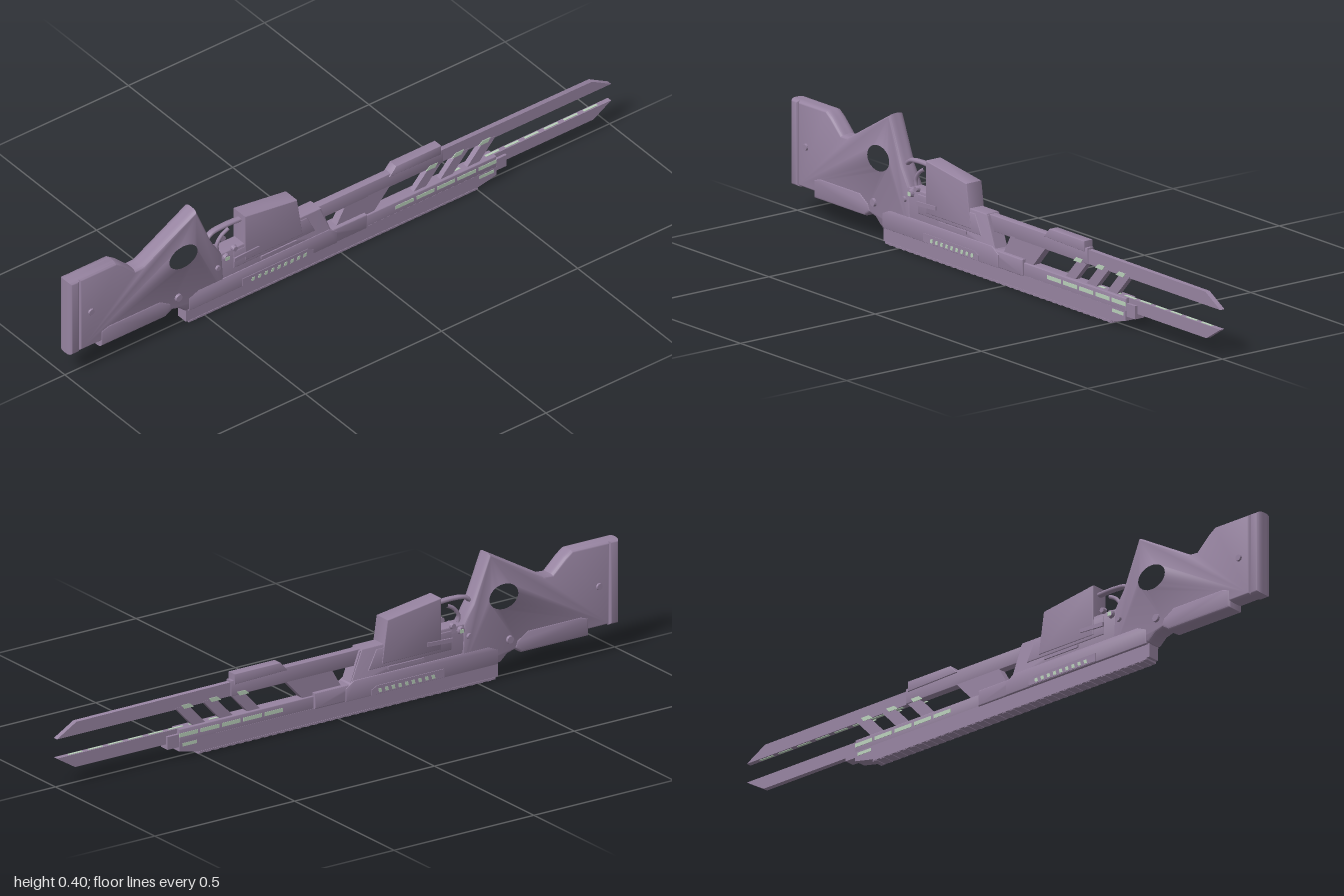
import * as THREE from 'three';
import { toCreasedNormals } from 'three/addons/utils/BufferGeometryUtils.js';

const shell = new THREE.MeshStandardMaterial({ color: 0x9683a0 });
shell.name = 'mauve shell';
const glow = new THREE.MeshStandardMaterial({ color: 0xb9d0ba });
glow.name = 'pale green inlay';

export function createModel() {
  const model = new THREE.Group();
  model.name = 'rifle';

  const add = (name, geo, mat = shell) => {
    const mesh = new THREE.Mesh(geo, mat);
    mesh.name = name;
    model.add(mesh);
    return mesh;
  };

  // Side profile in [z, y], extruded across x to a half width, with optional rounded rims
  const slab = (name, pts, half, { bevel = 0, round = bevel, hole, x = 0, mat } = {}) => {
    const shape = new THREE.Shape(pts.map(([z, y]) => new THREE.Vector2(-z, y)));
    if (hole) {
      const path = new THREE.Path();
      path.absellipse(-hole[0], hole[1], hole[2], hole[3], 0, Math.PI * 2, true);
      shape.holes.push(path);
    }
    const geo = new THREE.ExtrudeGeometry(shape, {
      depth: 2 * (half - round), bevelEnabled: bevel > 0, bevelSize: bevel,
      bevelOffset: -bevel, bevelThickness: round, bevelSegments: 4, curveSegments: 12,
    });
    geo.translate(0, 0, round - half).rotateY(Math.PI / 2).translate(x, 0, 0);
    return add(name, toCreasedNormals(geo, 0.6), mat);
  };
  const rect = (z0, z1, y0, y1) => [[z0, y0], [z0, y1], [z1, y1], [z1, y0]];
  const box = (name, half, z0, z1, y0, y1, mat, x = 0) => {
    const geo = new THREE.BoxGeometry(2 * half, y1 - y0, Math.abs(z1 - z0));
    geo.translate(x, (y0 + y1) / 2, (z0 + z1) / 2);
    return add(name, geo, mat);
  };

  // Stock with thumbhole, butt pad and rounded lower pad
  slab('stock', [[0.966, 0.085], [0.966, 0.345], [0.83, 0.345], [0.805, 0.328], [0.76, 0.286],
    [0.73, 0.288], [0.535, 0.4], [0.475, 0.255], [0.44, 0.2], [0.43, 0.05], [0.575, 0.05],
    [0.6, 0.072], [0.64, 0.083]], 0.027, { bevel: 0.008, round: 0.02, hole: [0.585, 0.256, 0.06, 0.047] });
  slab('buttPad', rect(1, 0.963, 0.082, 0.345), 0.027, { bevel: 0.008, round: 0.02 });
  slab('stockLowerPad', [[0.89, 0.066], [0.89, 0.125], [0.86, 0.135], [0.67, 0.135], [0.63, 0.11],
    [0.62, 0.085], [0.65, 0.066]], 0.0285, { bevel: 0.008, round: 0.015 });

  // Receiver and magazine
  slab('receiver', [[0.48, 0.05], [0.48, 0.2], [0.08, 0.2], [0.04, 0.1], [-0.09, 0.1], [-0.09, 0.05]],
    0.025, { bevel: 0.004 });
  slab('receiverSidePlate', [[0.565, 0.05], [0.565, 0.095], [0.53, 0.11], [0.05, 0.11], [0.02, 0.09],
    [0.02, 0.05]], 0.0275, { bevel: 0.002 });
  slab('magazine', [[0.36, 0.14], [0.36, 0.3], [0.168, 0.273], [0.148, 0.14]], 0.0285, { bevel: 0.003 });
  slab('magazineCollar', [[0.4, 0.13], [0.4, 0.19], [0.13, 0.19], [0.1, 0.13]], 0.027, { bevel: 0.003 });

  // Trigger guard and trigger
  const curve = pts => new THREE.CatmullRomCurve3(pts.map(([z, y]) => new THREE.Vector3(0, y, z)));
  const guard = new THREE.TubeGeometry(curve([[0.49, 0.25], [0.465, 0.272], [0.42, 0.278], [0.355, 0.276]]), 16, 0.007, 8);
  add('triggerGuard', guard.scale(1.6, 1, 1));
  add('trigger', new THREE.TubeGeometry(curve([[0.44, 0.195], [0.442, 0.22], [0.425, 0.245], [0.4, 0.26]]), 12, 0.006, 8));

  // Lower housing, bottom strip with ridges
  slab('lowerHousing', [[0.57, 0.008], [0.57, 0.052], [-0.57, 0.052], [-0.57, 0.022], [-0.505, 0.008]], 0.0195);
  box('bottomStrip', 0.021, 0.56, -0.5, 0.002, 0.008);
  for (let i = 0; i < 36; i++) {
    const z = 0.545 - i * 0.0295;
    box('bottomRidge', 0.0195, z, z - 0.015, 0, 0.004);
  }

  // Forearm with stepped nose
  slab('forearm', rect(0.03, -0.57, 0.04, 0.09), 0.019, { bevel: 0.003 });
  box('forearmNose', 0.0165, -0.56, -0.61, 0.035, 0.075);

  // Twin barrel rails, joining web and slanted struts
  slab('upperRail', [[0.1, 0.15], [0.1, 0.195], [-0.93, 0.19], [-1, 0.15]], 0.008);
  slab('upperRailRear', rect(0.1, -0.38, 0.15, 0.198), 0.0125, { bevel: 0.002 });
  slab('railSight', [[-0.18, 0.19], [-0.205, 0.218], [-0.37, 0.218], [-0.37, 0.186]], 0.016, { bevel: 0.002 });
  slab('lowerRail', [[-0.1, 0.05], [-0.1, 0.09], [-1, 0.09], [-0.935, 0.05]], 0.008);
  slab('railWeb', [[-0.02, 0.155], [-0.185, 0.155], [-0.122, 0.085], [0.02, 0.085]], 0.0125);
  slab('webBrace', [[0.1, 0.1], [0.1, 0.195], [0.075, 0.195], [0.035, 0.09]], 0.021);
  for (let i = 0; i < 3; i++) {
    const z = -0.27 - i * 0.098;
    slab('railStrut', [[z, 0.085], [z - 0.065, 0.155], [z - 0.11, 0.155], [z - 0.045, 0.085]], 0.009);
  }

  // Inlaid strips on the facing edges of the rails
  for (let i = 0; i < 8; i++) {
    const z = -0.4 - i * 0.072;
    box('upperRailInlay', 0.004, z, z - 0.05, 0.1485, 0.151, glow);
    box('lowerRailInlay', 0.004, z, z - 0.05, 0.089, 0.0915, glow);
  }

  // Details repeated on both sides
  for (const s of [1, -1]) {
    const bolt = (name, z, y, r, x) => {
      const geo = new THREE.CylinderGeometry(r * 0.8, r, 0.012, 12);
      const m = add(name, toCreasedNormals(geo.rotateZ(-s * Math.PI / 2), 0.6));
      m.position.set(s * x, y, z);
    };
    bolt('stockBolt', 0.925, 0.213, 0.012, 0.027);
    bolt('hingeBolt', 0.605, 0.118, 0.014, 0.028);
    bolt('triggerBolt', 0.43, 0.185, 0.013, 0.029);
    bolt('selectorBolt', 0.46, 0.16, 0.01, 0.028);
    bolt('receiverBolt', 0.4, 0.205, 0.01, 0.03);
    box('triggerInlay', 0.001, 0.436, 0.422, 0.178, 0.19, glow, s * 0.0352);

    // Selector lever and bolt slot
    slab('selectorLever', [[0.4, 0.155], [0.4, 0.168], [0.31, 0.172], [0.31, 0.16]], 0.003, { x: s * 0.029 });
    box('boltSlotCover', 0.002, 0.3, 0.17, 0.118, 0.128, shell, s * 0.027);

    // Vent panel with a row of lights
    slab('ventPanel', [[0.37, 0.052], [0.37, 0.078], [0.13, 0.078], [0.11, 0.068], [0.11, 0.052]],
      0.0015, { x: s * 0.028 });
    for (let i = 0; i < 9; i++) {
      const z = 0.338 - i * 0.0238;
      slab('ventLight', [[z, 0.056], [z - 0.003, 0.068], [z - 0.014, 0.068], [z - 0.011, 0.056]],
        0.001, { x: s * 0.0295, mat: glow });
    }

    // Forearm light strips
    for (let i = 0; i < 5; i++) {
      const z = -0.2 - i * 0.076;
      box('forearmLight', 0.001, z, z - 0.066, 0.066, 0.078, glow, s * 0.0192);
    }
    box('noseLight', 0.001, -0.508, -0.56, 0.036, 0.046, glow, s * 0.0197);

    // Light wedges where the struts meet the upper rail
    for (let i = 0; i < 3; i++) {
      const z = -0.315 - i * 0.098;
      slab('strutLight', [[z, 0.147], [z - 0.015, 0.16], [z - 0.045, 0.16], [z - 0.035, 0.147]],
        0.001, { x: s * (i === 0 ? 0.0128 : 0.0095), mat: glow });
    }
  }
  return model;
}
